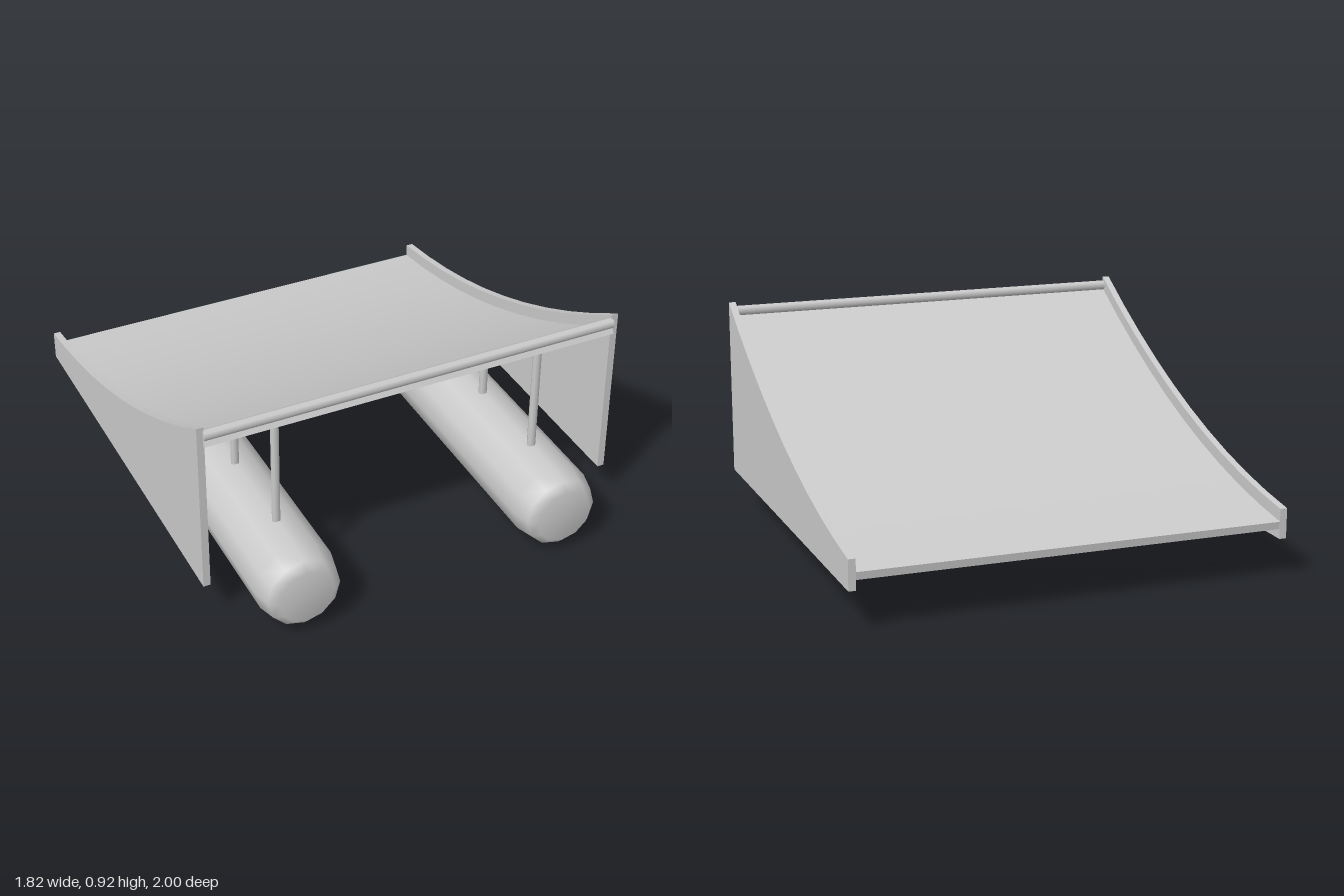
import * as THREE from 'three';
import { toCreasedNormals } from 'three/addons/utils/BufferGeometryUtils.js';

const FRONT = 0.76, BACK = -1, STEPS = 10;

// Height of the side panel's curved top edge, and its slope, at depth z
const rise = z => 0.29 + 0.116 * (z + 1) + 0.139 * (z + 1) ** 2;
const slope = z => 0.116 + 0.278 * (z + 1);

export function createModel() {
  const model = new THREE.Group();
  const material = new THREE.MeshStandardMaterial({ color: 0xcccccc });

  function add(name, geometry, x = 0, y = 0, z = 0) {
    const mesh = new THREE.Mesh(geometry, material);
    mesh.name = name;
    mesh.position.set(x, y, z);
    model.add(mesh);
    return mesh;
  }

  // Extrudes a (z, y) outline across x, centred on x = 0
  function slab(points, width) {
    const geometry = new THREE.ExtrudeGeometry(new THREE.Shape(points), { depth: width, bevelEnabled: false });
    geometry.translate(0, 0, -width / 2).rotateY(-Math.PI / 2);
    return toCreasedNormals(geometry, 0.4);
  }

  const depths = Array.from({ length: STEPS + 1 }, (_, i) => BACK + (FRONT - BACK) * i / STEPS);

  // Curved deck: top surface plus an underside offset along the normal
  const thickness = 0.032, inset = 0.053;
  const top = depths.map(z => new THREE.Vector2(z, rise(z) - inset));
  const under = depths.map(z => {
    const k = thickness / Math.hypot(1, slope(z));
    return new THREE.Vector2(z + slope(z) * k, rise(z) - inset - k);
  });
  add('rampDeck', slab([...under, ...top.reverse()], 1.77));

  // Side panels
  const panel = slab([
    new THREE.Vector2(BACK, 0.165),
    new THREE.Vector2(FRONT, 0.165),
    ...depths.map(z => new THREE.Vector2(z, rise(z))).reverse(),
  ], 0.03);

  // Rounded float profile, revolved and laid along z
  const floatProfile = [
    [0, -0.667], [0.12, -0.667], [0.155, -0.635], [0.175, -0.555],
    [0.175, 0.555], [0.155, 0.635], [0.12, 0.667], [0, 0.667],
  ].map(([r, h]) => new THREE.Vector2(r, h));
  const float = new THREE.LatheGeometry(floatProfile, 12).rotateX(Math.PI / 2);

  for (const [side, s] of [['left', 1], ['right', -1]]) {
    add(side + 'Panel', panel, s * 0.895);
    add(side + 'Float', float, s * 0.575, 0.175, 0.333);

    // Posts from the float up to the deck
    [0.71, 0.3, -0.1].forEach((z, i) => {
      const bottom = 0.3, height = rise(z) - 0.08 - bottom;
      add(side + 'Post' + (i + 1), new THREE.CylinderGeometry(0.018, 0.018, height, 8),
        s * 0.575, bottom + height / 2, z);
    });
  }

  // Pipe along the high edge of the deck
  add('topEdgePipe', new THREE.CylinderGeometry(0.022, 0.022, 1.77, 8).rotateZ(Math.PI / 2), 0, 0.886, 0.757);

  return model;
}
